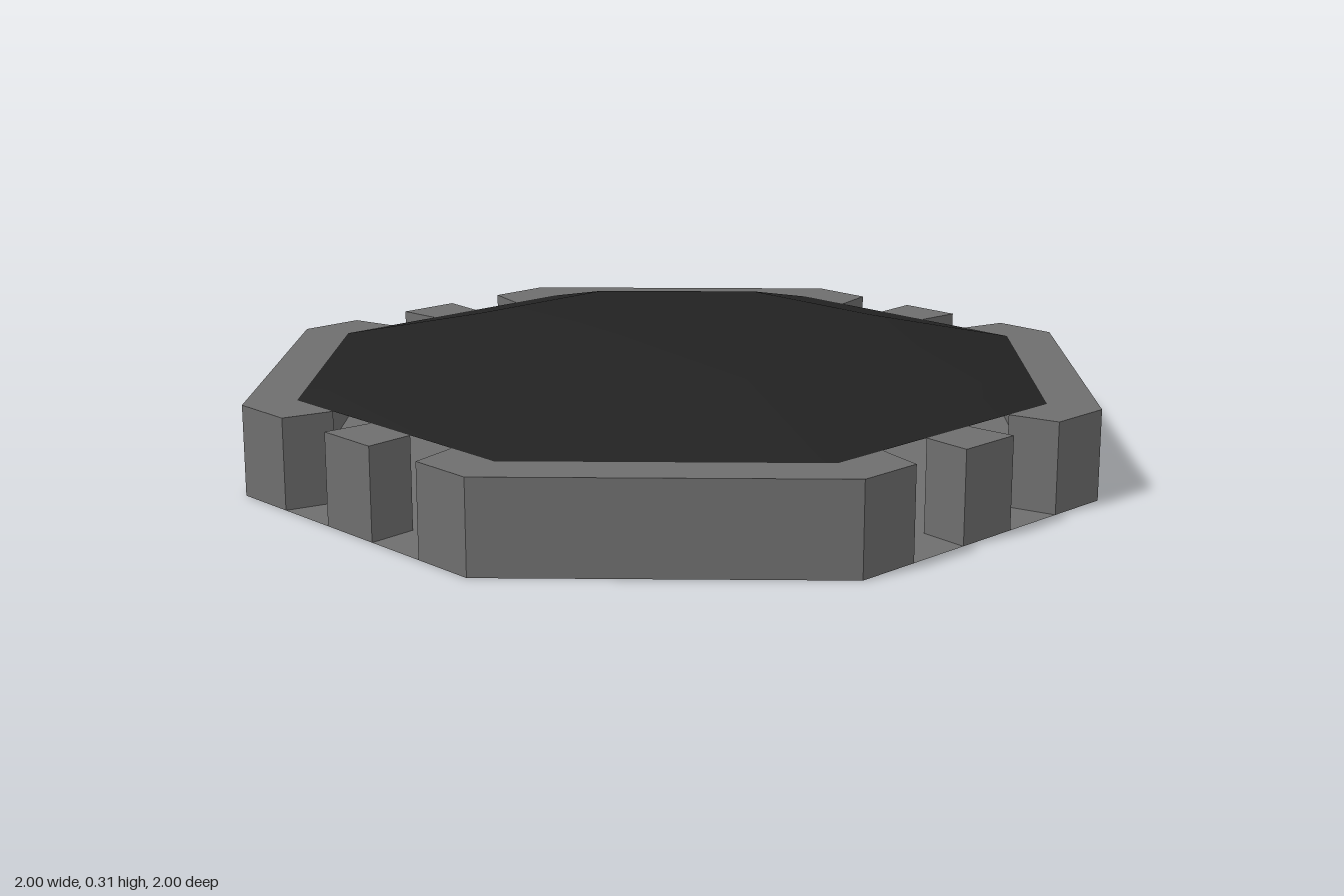
import * as THREE from 'three';

const OUTER = 1;          // distance from centre to outer wall face
const INNER = 0.88;       // distance from centre to inner wall face
const WALL_H = 0.22;
const ROOF_H = 0.31;
const T = Math.tan(Math.PI / 8);
const toRadius = (apothem) => apothem / Math.cos(Math.PI / 8);

const shapeOf = (points) => new THREE.Shape(points.map(([x, y]) => new THREE.Vector2(x, y)));

// Point on a side of the octagon: t is its offset along the outer edge, scaled radially
const onSide = (t, d) => [t * d, d];

function wallGeometry(points) {
  const geo = new THREE.ExtrudeGeometry(shapeOf(points), { depth: WALL_H, bevelEnabled: false });
  return geo.rotateX(-Math.PI / 2);
}

export function createModel() {
  const stone = new THREE.MeshStandardMaterial({ color: 0x6e6e6e, side: THREE.DoubleSide });
  stone.name = 'grey';
  const dark = new THREE.MeshStandardMaterial({ color: 0x222222, side: THREE.DoubleSide });
  dark.name = 'near black';

  const group = new THREE.Group();
  const add = (name, geo, mat) => {
    const mesh = new THREE.Mesh(geo, mat);
    mesh.name = name;
    group.add(mesh);
    return mesh;
  };

  // Thin octagonal floor
  const corners = [];
  for (let i = 0; i < 8; i++) {
    const a = (i + 0.5) * Math.PI / 4;
    corners.push([Math.cos(a) * toRadius(OUTER), Math.sin(a) * toRadius(OUTER)]);
  }
  add('floor', new THREE.ShapeGeometry(shapeOf(corners)).rotateX(-Math.PI / 2), stone);

  // Corner walls wrap each diagonal side; a single post stands in each straight side
  const cornerGeo = wallGeometry([
    onSide(0.25, OUTER), onSide(0.25, INNER), onSide(T, INNER),
    [INNER, INNER * T], [INNER, INNER * 0.25], [OUTER, OUTER * 0.25],
    [OUTER, OUTER * T], onSide(T, OUTER),
  ]);
  const postGeo = wallGeometry([
    onSide(-0.083, OUTER), onSide(-0.083, INNER), onSide(0.083, INNER), onSide(0.083, OUTER),
  ]);
  for (let i = 0; i < 4; i++) {
    add('cornerWall', cornerGeo, stone).rotation.y = i * Math.PI / 2;
    add('post', postGeo, stone).rotation.y = i * Math.PI / 2;
  }

  // Shallow roof with sloping sides and a flat top
  const profile = [[toRadius(INNER), WALL_H], [toRadius(0.505), ROOF_H], [0, ROOF_H]];
  add('roof', new THREE.LatheGeometry(
    profile.map(([r, y]) => new THREE.Vector2(r, y)), 8, Math.PI / 8), dark);

  return group;
}
